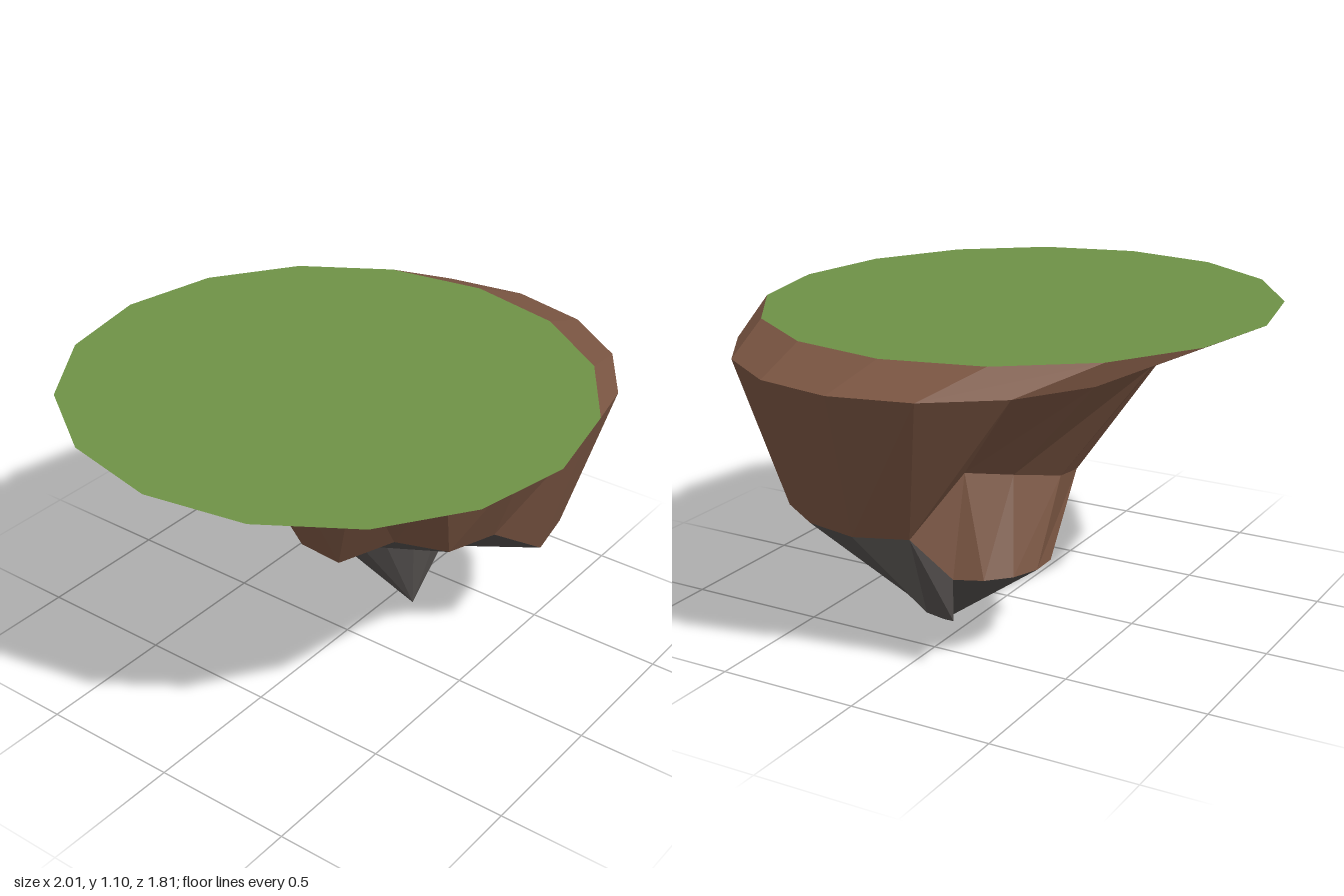
import * as THREE from 'three';

const SIDES = 16;

// Point on a horizontal ring
function onRing(i, cx, cz, r, y, turn = 0) {
  const a = (i / SIDES) * Math.PI * 2 + turn;
  return [cx + Math.cos(a) * r, y, cz + Math.sin(a) * r];
}

// Faceted wall between two rows of points, upper and lower
function wall(upper, lower) {
  const tris = [];
  for (let i = 0; i + 1 < upper.length; i++) {
    tris.push(upper[i], upper[i + 1], lower[i + 1], upper[i], lower[i + 1], lower[i]);
  }
  return tris;
}

// Triangles from a row of points down to one point
function fan(row, point) {
  const tris = [];
  for (let i = 0; i + 1 < row.length; i++) tris.push(row[i], row[i + 1], point);
  return tris;
}

function makeMesh(name, tris, material) {
  const g = new THREE.BufferGeometry();
  g.setAttribute('position', new THREE.Float32BufferAttribute(tris.flat(), 3));
  g.computeVertexNormals();
  const mesh = new THREE.Mesh(g, material);
  mesh.name = name;
  return mesh;
}

export function createModel() {
  const mat = (name, color) => {
    const m = new THREE.MeshStandardMaterial({ color, flatShading: true, side: THREE.DoubleSide });
    m.name = name;
    return m;
  };
  const grass = mat('grass green', 0x6e9146);
  const earth = mat('earth brown', 0x7a5542);
  const rock = mat('rock grey', 0x524e4c);

  // Radius and height of each corner of the ragged lower earth edge
  const ragged = [
    [0.5, 0.47], [0.5, 0.47], [0.5, 0.47], [0.5, 0.47], [0.5, 0.47], [0.45, 0.58], [0.5, 0.58], [0.45, 0.58],
    [0.5, 0.47], [0.5, 0.45], [0.5, 0.5], [0.49, 0.57], [0.49, 0.61], [0.44, 0.65], [0.43, 0.68], [0.49, 0.48],
  ];
  // Height of the rock collar, from the right side round the front to the left
  const collarY = [0.19, 0.2, 0.23, 0.26, 0.27, 0.28, 0.28, 0.28, 0.27, 0.26, 0.24];
  const TIP = [0.29, 0, 0.09];

  const rim = [], shoulder = [];
  for (let i = 0; i <= SIDES; i++) {
    const p = onRing(i, -0.1, 0, 0.905, 0);
    p[1] = 1.085 - 0.017 * p[2];
    rim.push(p);
    const s = onRing(i, 0.27, 0.06, 0.73, 0);
    s[1] = 1.01 - 0.015 * s[2];
    shoulder.push(s);
  }
  const edgeAt = (i) => {
    const [r, y] = ragged[i % SIDES];
    return onRing(i, 0.28, 0.13, r, y);
  };
  const edge = shoulder.map((_, i) => edgeAt(i));
  const collarAt = (i, y) => onRing(i, 0.4, -0.11, 0.255, y, 0.17);

  // Front collar (corners 15 to 25) is low, back collar (9 to 15) is higher
  const front = [], frontEdge = [], back = [], backEdge = [];
  collarY.forEach((y, k) => {
    front.push(collarAt(15 + k, y));
    frontEdge.push(edgeAt(15 + k));
  });
  for (let i = 9; i <= 15; i++) {
    back.push(collarAt(i, 0.335));
    backEdge.push(edgeAt(i));
  }

  const group = new THREE.Group();
  group.name = 'floatingIsland';
  group.add(
    makeMesh('grassTop', fan([...rim].reverse(), [-0.1, 1.085, 0]), grass),
    makeMesh('earthOverhang', wall(rim, shoulder), earth),
    makeMesh('earthBody', wall(shoulder, edge), earth),
    makeMesh('earthBackStep', wall(backEdge, back), earth),
    makeMesh('rockFront', [
      ...wall(frontEdge, front),
      // side faces closing the step between the two collars
      edgeAt(15), front[0], back[6],
      edgeAt(9), back[0], front[10],
    ], rock),
    makeMesh('rockTip', [
      ...fan(front, TIP),
      ...fan(back, TIP),
      back[6], front[0], TIP,
      front[10], back[0], TIP,
    ], rock),
  );
  return group;
}
